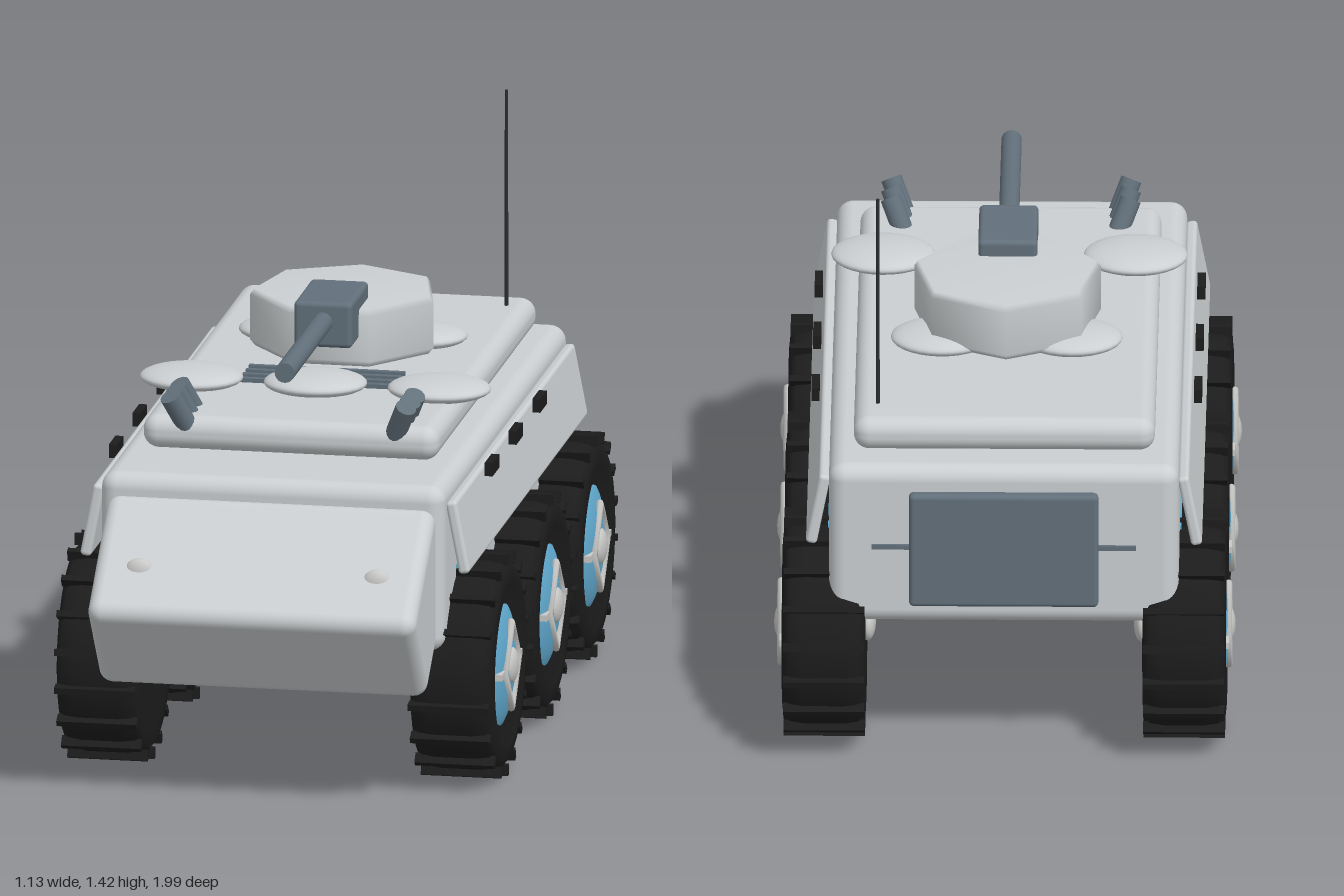
import * as THREE from 'three';
import { RoundedBoxGeometry } from 'three/addons/geometries/RoundedBoxGeometry.js';

const paint = (name, color) => {
  const m = new THREE.MeshStandardMaterial({ color });
  m.name = name;
  return m;
};

export function createModel() {
  const armour = paint('armour grey', 0xcbcfd1);
  const steel = paint('dark steel', 0x62707b);
  const rubber = paint('tyre rubber', 0x1c1c1c);
  const blue = paint('hub blue', 0x62acd2);
  const silver = paint('silver', 0xc8c8c6);
  const black = paint('antenna black', 0x2a2d30);

  const model = new THREE.Group();
  model.name = 'armouredCar';

  const add = (name, geometry, material, x, y, z, parent = model) => {
    const mesh = new THREE.Mesh(geometry, material);
    mesh.name = name;
    mesh.position.set(x, y, z);
    parent.add(mesh);
    return mesh;
  };
  const rounded = (w, h, d, r) => new RoundedBoxGeometry(w, h, d, 4, r);
  const ball = (rx, ry, rz) => new THREE.SphereGeometry(1, 28, 18).scale(rx, ry, rz);

  // Hull, sloping nose and raised deck
  add('hull', rounded(0.86, 0.42, 1.65, 0.04), armour, 0, 0.58, -0.11);
  add('nose', rounded(0.82, 0.3, 0.38, 0.035), armour, 0, 0.513, 0.768).rotation.x = 0.68;
  add('deck', rounded(0.74, 0.085, 1.33, 0.038), armour, 0, 0.835, -0.185);

  // Seven-sided turret with its point at the back
  const profile = [[0, 0.885], [0.222, 0.885], [0.235, 0.9], [0.235, 1.015], [0.225, 1.03], [0, 1.03]]
    .map(([r, y]) => new THREE.Vector2(r, y));
  add('turret', new THREE.LatheGeometry(profile, 7, Math.PI), armour, 0, 0, -0.265);

  // Gun
  add('gunMount', rounded(0.145, 0.115, 0.23, 0.012), steel, 0, 1.012, -0.075);
  const barrel = new THREE.CylinderGeometry(0.025, 0.025, 0.52, 20).rotateX(Math.PI / 2);
  add('gunBarrel', barrel, steel, 0, 1.02, 0.28);

  // Domed hatches
  for (const x of [-0.31, 0, 0.31]) add('frontHatch', ball(0.128, 0.028, 0.112), armour, x, 0.892, 0.133);
  for (const x of [-0.16, 0.16]) add('rearHatch', ball(0.125, 0.028, 0.105), armour, x, 0.892, -0.365);

  // Vent bars on the deck
  for (let i = 0; i < 4; i++) {
    add('ventBar', new THREE.BoxGeometry(0.39, 0.016, 0.016), steel, 0, 0.88, -0.02 + i * 0.042);
  }

  // Rear door and its cross bar
  add('rearDoor', rounded(0.465, 0.3, 0.035, 0.012), steel, 0, 0.58, -0.95);
  add('doorBar', new THREE.BoxGeometry(0.65, 0.012, 0.012), steel, 0, 0.58, -0.936);

  // Antenna
  add('antenna', new THREE.CylinderGeometry(0.004, 0.005, 0.55, 8), black, 0.312, 1.15, -0.738);

  // Parts on both sides
  const up = new THREE.Vector3(0, 1, 0);
  for (const s of [-1, 1]) {
    const panel = add('sidePanel', rounded(0.028, 0.185, 1.565, 0.01), armour, s * 0.457, 0.657, -0.11);
    panel.rotation.z = s * 0.19;
    add('sideStripe', new THREE.BoxGeometry(0.006, 0.01, 1.3), blue, s * 0.431, 0.552, -0.1);
    for (const z of [0.283, -0.028, -0.343]) {
      add('panelLatch', new THREE.BoxGeometry(0.02, 0.034, 0.088), rubber, s * 0.47, 0.743, z);
    }
    add('headlight', ball(0.038, 0.036, 0.022), silver, s * 0.297, 0.588, 0.885);
    const aim = new THREE.Vector3(s * 0.36, 0.85, 0.4).normalize();
    for (const z of [0.355, 0.415, 0.475]) {
      const tube = add('smokeTube', new THREE.CylinderGeometry(0.026, 0.026, 0.095, 16), steel, s * 0.278, 0.895, z);
      tube.quaternion.setFromUnitVectors(up, aim);
    }
  }

  // Wheel with its outer face towards +x
  const tyreProfile = [[0, -0.098], [0.2, -0.102], [0.24, -0.1], [0.258, -0.085], [0.264, -0.05],
    [0.264, 0.05], [0.258, 0.085], [0.24, 0.1], [0.2, 0.104], [0.17, 0.085], [0, 0.085]]
    .map(([r, y]) => new THREE.Vector2(r, y));
  const tyreGeo = new THREE.LatheGeometry(tyreProfile, 40).rotateZ(-Math.PI / 2);
  const cleatGeo = new THREE.BoxGeometry(0.2, 0.028, 0.016);
  const diamondGeo = new THREE.TorusGeometry(0.1, 0.01, 8, 4).scale(0.9, 1.08, 1).rotateY(Math.PI / 2);
  const makeWheel = () => {
    const wheel = new THREE.Group();
    wheel.name = 'wheel';
    add('tyre', tyreGeo, rubber, 0, 0, 0, wheel);
    for (let i = 0; i < 18; i++) {
      const a = (i / 18) * Math.PI * 2;
      const cleat = add('treadCleat', cleatGeo, rubber, 0, 0.267 * Math.cos(a), 0.267 * Math.sin(a), wheel);
      cleat.rotation.x = a;
    }
    add('hubDome', ball(0.052, 0.172, 0.172), blue, 0.06, 0, 0, wheel);
    add('hubDiamond', diamondGeo, silver, 0.107, 0, 0, wheel);
    for (const s of [-1, 1]) {
      add('hubBar', new THREE.BoxGeometry(0.02, 0.016, 0.05), silver, 0.1, 0, s * 0.11, wheel);
      add('hubCap', ball(0.02, 0.046, 0.046), silver, s * 0.105, 0, 0, wheel);
    }
    return wheel;
  };
  for (const z of [0.447, -0.142, -0.721]) {
    for (const s of [-1, 1]) {
      const wheel = makeWheel();
      wheel.position.set(s * 0.442, 0.282, z);
      if (s < 0) wheel.rotation.y = Math.PI;
      model.add(wheel);
    }
  }
  return model;
}
